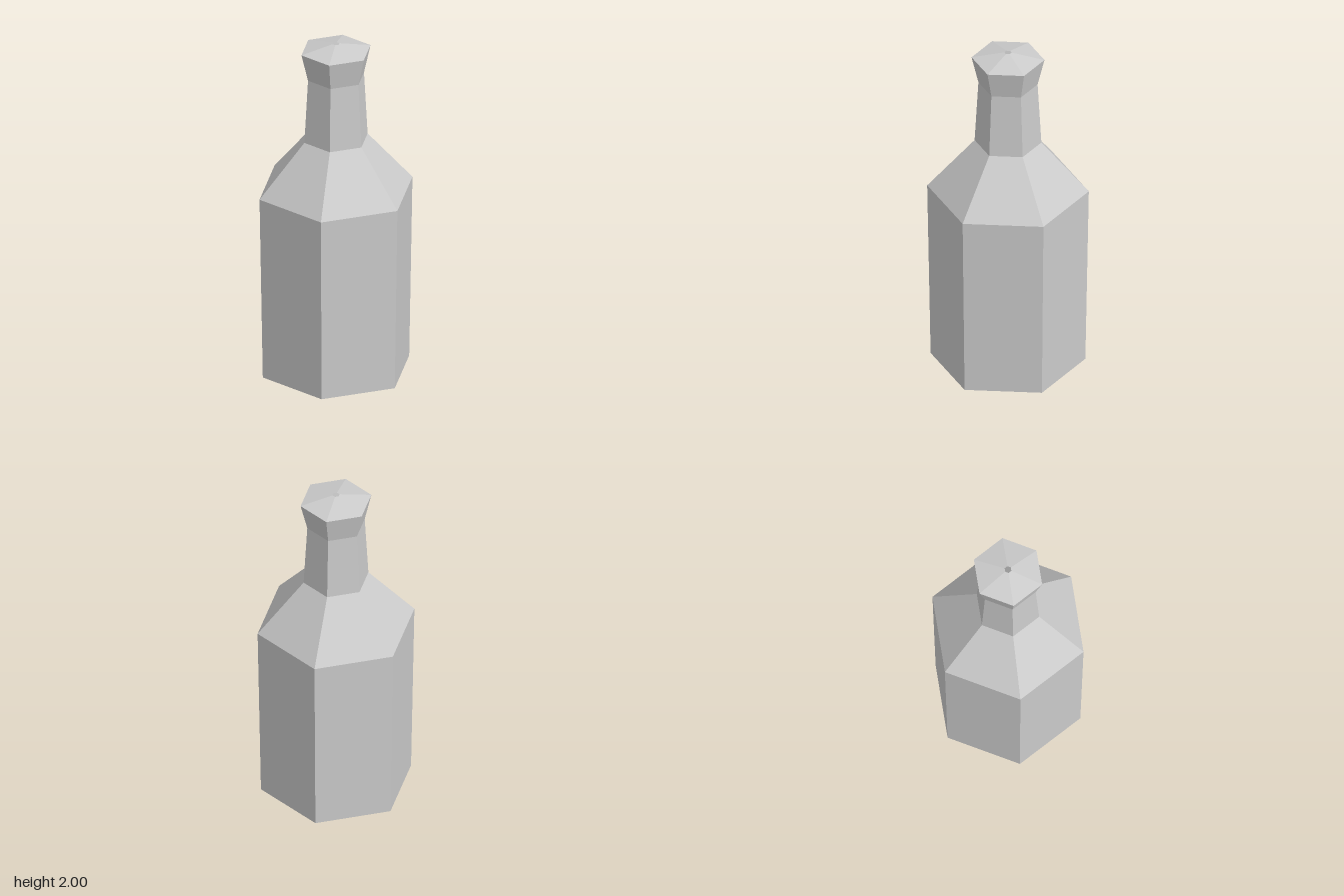
import * as THREE from 'three';

export function createModel() {
  const group = new THREE.Group();
  group.name = 'bottle';

  // Open shell, seen from inside through the small holes at both ends
  const material = new THREE.MeshStandardMaterial({
    color: 0xcccccc,
    flatShading: true,
    side: THREE.DoubleSide,
  });

  // Corner radius and height, from base to mouth
  const profile = [
    [0.02, 0],       // hole in the base
    [0.426, 0.035],  // base rim
    [0.445, 1.12],   // shoulder
    [0.184, 1.425],  // foot of the neck
    [0.163, 1.8],    // top of the neck
    [0.201, 1.96],   // flared lip
    [0.02, 2],       // hole in the mouth
  ].map(([r, y]) => new THREE.Vector2(r, y));

  // Six-sided body with corners on the x axis
  const shell = new THREE.Mesh(new THREE.LatheGeometry(profile, 6, Math.PI / 2), material);
  shell.name = 'bottleShell';
  group.add(shell);

  return group;
}
